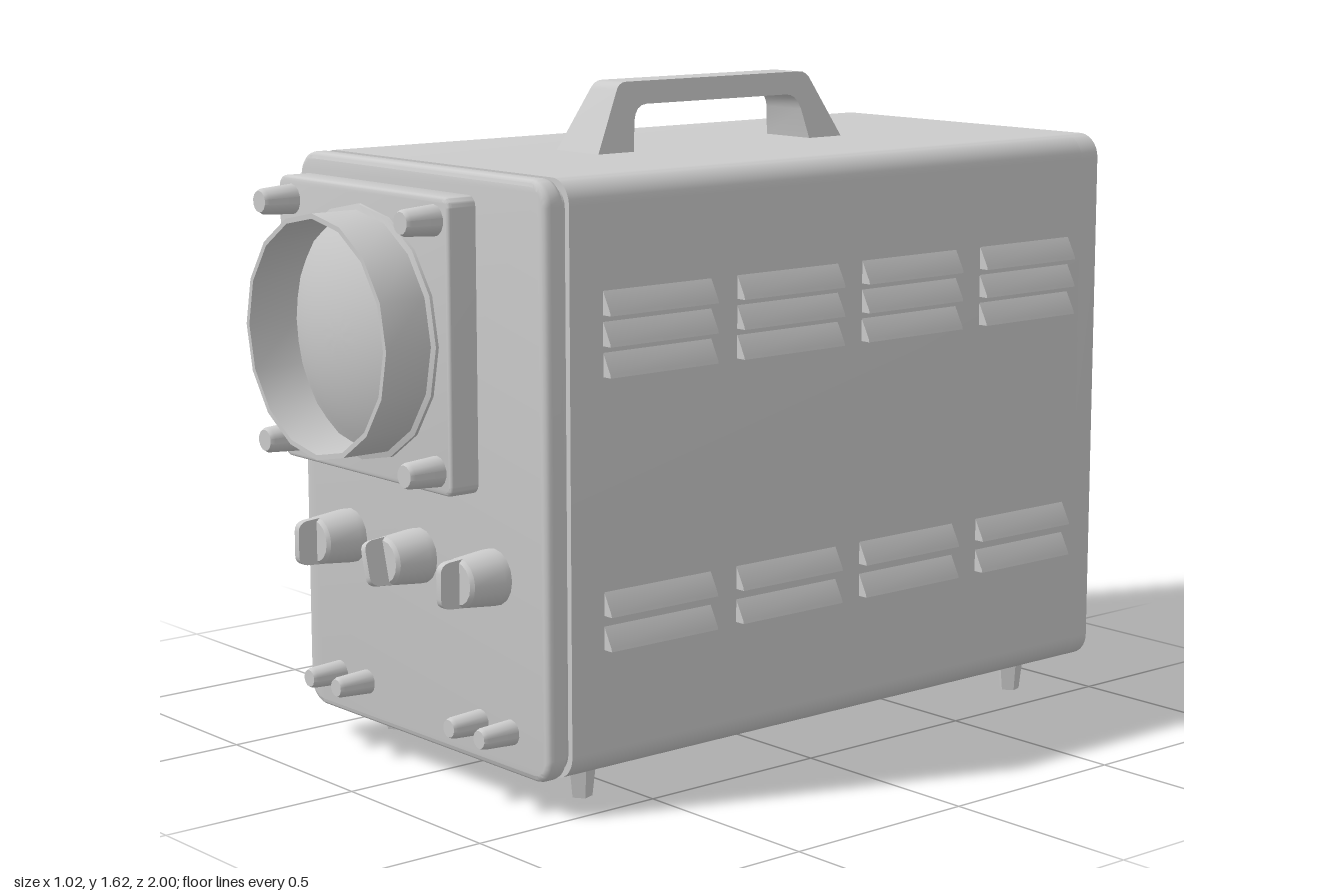
import * as THREE from 'three';
import { toCreasedNormals } from 'three/addons/utils/BufferGeometryUtils.js';

const grey = new THREE.MeshStandardMaterial({ color: 0xcccccc });

export function createModel() {
  const model = new THREE.Group();

  function add(name, geometry, x = 0, y = 0, z = 0, crease = 0.6) {
    const mesh = new THREE.Mesh(toCreasedNormals(geometry, crease), grey);
    mesh.name = name;
    mesh.position.set(x, y, z);
    model.add(mesh);
    return mesh;
  }

  // Rounded rectangle centred on the origin
  function roundRect(w, h, r, Type = THREE.Shape) {
    const s = new Type(), x = w / 2, y = h / 2;
    s.absarc(x - r, y - r, r, 0, Math.PI / 2);
    s.absarc(-x + r, y - r, r, Math.PI / 2, Math.PI);
    s.absarc(-x + r, -y + r, r, Math.PI, Math.PI * 1.5);
    s.absarc(x - r, -y + r, r, Math.PI * 1.5, Math.PI * 2);
    s.closePath();
    return s;
  }

  // Extrusion running from z = 0 to z = depth, bevel included in the size
  function slab(w, h, r, depth, bevel = 0) {
    const geo = new THREE.ExtrudeGeometry(roundRect(w - 2 * bevel, h - 2 * bevel, r - bevel), {
      depth: depth - 2 * bevel, curveSegments: 6, bevelEnabled: bevel > 0,
      bevelSize: bevel, bevelThickness: bevel, bevelSegments: 3,
    });
    return geo.translate(0, 0, bevel);
  }

  // Turned part standing out along +z; profile is [radius, height] from base to tip
  function turned(profile, sides) {
    return new THREE.LatheGeometry(profile.map(p => new THREE.Vector2(...p)), sides).rotateX(Math.PI / 2);
  }

  const W = 0.97, H = 1.375, MID = 0.08 + H / 2;

  // Case: open-backed rim, solid body and front panel with a shadow gap
  const rim = roundRect(W, H, 0.06);
  rim.holes.push(roundRect(W - 0.044, H - 0.044, 0.04, THREE.Path));
  add('rearRim', new THREE.ExtrudeGeometry(rim, { depth: 0.06, bevelEnabled: false, curveSegments: 6 }), 0, MID, -1);
  add('caseBody', slab(W, H, 0.06, 0.725 + 0.94), 0, MID, -0.94);
  add('panelGap', slab(W - 0.03, H - 0.03, 0.05, 0.03), 0, MID, 0.715);
  add('frontPanel', slab(W, H, 0.06, 0.055, 0.016), 0, MID, 0.735);

  // Screen bezel, hood and domed glass
  const sx = -0.117, sy = 1.06;
  add('screenBezel', slab(0.69, 0.685, 0.025, 0.085, 0.01), sx, sy, 0.78);
  add('screenHood', turned([[0.302, 0], [0.302, 0.01], [0.288, 0.014], [0.288, 0.137],
    [0.276, 0.137], [0.276, 0]], 16), sx, sy, 0.863);
  const a = 0.277, h = 0.07, R = (a * a + h * h) / (2 * h);
  const glass = new THREE.SphereGeometry(R, 32, 8, 0, Math.PI * 2, 0, Math.asin(a / R));
  add('screenGlass', glass.translate(0, h - R, 0).rotateX(Math.PI / 2), sx, sy, 0.866);

  // Bezel fixing posts and front terminals
  const post = r => turned([[r, 0], [r * 0.84, 0.085], [r * 0.7, 0.095], [0, 0.095]], 14);
  for (const dx of [-1, 1]) for (const dy of [-1, 1])
    add('bezelPost', post(0.037), sx + dx * 0.288, sy + dy * 0.288, 0.862);
  for (const x of [-0.347, -0.232, 0.227, 0.343]) add('terminal', post(0.03), x, 0.18, 0.788);

  // Control knobs with raised grip
  [[-0.29, 0], [-0.003, 0.26], [0.285, 0]].forEach(([x, turn]) => {
    add('knob', turned([[0.066, 0], [0.066, 0.02], [0.058, 0.1], [0.05, 0.108], [0, 0.108]], 16), x, 0.535, 0.788);
    const grip = new THREE.Shape();
    grip.moveTo(-0.057, 0);
    grip.lineTo(0.057, 0);
    grip.lineTo(0.054, 0.04);
    grip.quadraticCurveTo(0.05, 0.062, 0.03, 0.062);
    grip.lineTo(-0.03, 0.062);
    grip.quadraticCurveTo(-0.05, 0.062, -0.054, 0.04);
    const geo = new THREE.ExtrudeGeometry(grip, { depth: 0.018, bevelEnabled: false, curveSegments: 4 });
    geo.translate(0, 0, -0.009).rotateX(Math.PI / 2).rotateZ(Math.PI / 2 + turn);
    add('knobGrip', geo, x, 0.535, 0.885);
  });

  // Carrying handle: side outline, tapered in width towards the top
  const outline = new THREE.Shape();
  outline.moveTo(-0.48, 0);
  outline.lineTo(-0.4, 0.145);
  outline.quadraticCurveTo(-0.39, 0.168, -0.365, 0.168);
  outline.lineTo(0.2, 0.168);
  outline.quadraticCurveTo(0.225, 0.168, 0.235, 0.145);
  outline.lineTo(0.315, 0);
  outline.lineTo(0.205, 0);
  outline.lineTo(0.19, 0.075);
  outline.quadraticCurveTo(0.18, 0.113, 0.145, 0.113);
  outline.lineTo(-0.31, 0.113);
  outline.quadraticCurveTo(-0.345, 0.113, -0.355, 0.075);
  outline.lineTo(-0.37, 0);
  const handle = new THREE.ExtrudeGeometry(outline, { depth: 2, bevelEnabled: false, curveSegments: 4 });
  handle.translate(0, 0, -1).rotateY(-Math.PI / 2);
  const p = handle.attributes.position;
  for (let i = 0; i < p.count; i++) {
    p.setX(i, p.getX(i) * THREE.MathUtils.lerp(0.08, 0.046, p.getY(i) / 0.168));
  }
  add('handle', handle, 0, 1.453, 0, 0.5);

  // Side ventilation louvres: wedges flaring out at the bottom
  const wedge = new THREE.Shape();
  wedge.moveTo(-0.01, 0);
  wedge.lineTo(0.027, 0);
  wedge.lineTo(0.025, 0.008);
  wedge.lineTo(0, 0.055);
  wedge.lineTo(-0.01, 0.055);
  for (const z of [0.47, 0.07, -0.33, -0.735]) {
    for (const y of [1.145, 1.075, 1.005, 0.455, 0.375]) {
      for (const side of [1, -1]) {
        const geo = new THREE.ExtrudeGeometry(wedge, { depth: 0.32, bevelEnabled: false });
        geo.translate(0, 0, -0.16);
        if (side < 0) geo.rotateY(Math.PI);
        add('louvre', geo, side * W / 2, y, z, 0.3);
      }
    }
  }

  // Tapered feet
  for (const x of [-0.372, 0.372]) for (const z of [0.61, -0.83])
    add('foot', new THREE.CylinderGeometry(0.036, 0.026, 0.09, 5), x, 0.045, z, 0.3);

  // Rear sockets with clipped lower corners
  const socket = new THREE.Shape([[-0.068, 0.07], [-0.068, -0.035], [-0.035, -0.07], [0.035, -0.07],
    [0.068, -0.035], [0.068, 0.07]].map(q => new THREE.Vector2(...q)));
  for (const x of [0.117, -0.06, -0.237])
    add('rearSocket', new THREE.ExtrudeGeometry(socket, { depth: 0.045, bevelEnabled: false }), x, 0.26, -0.98, 0.3);

  return model;
}
